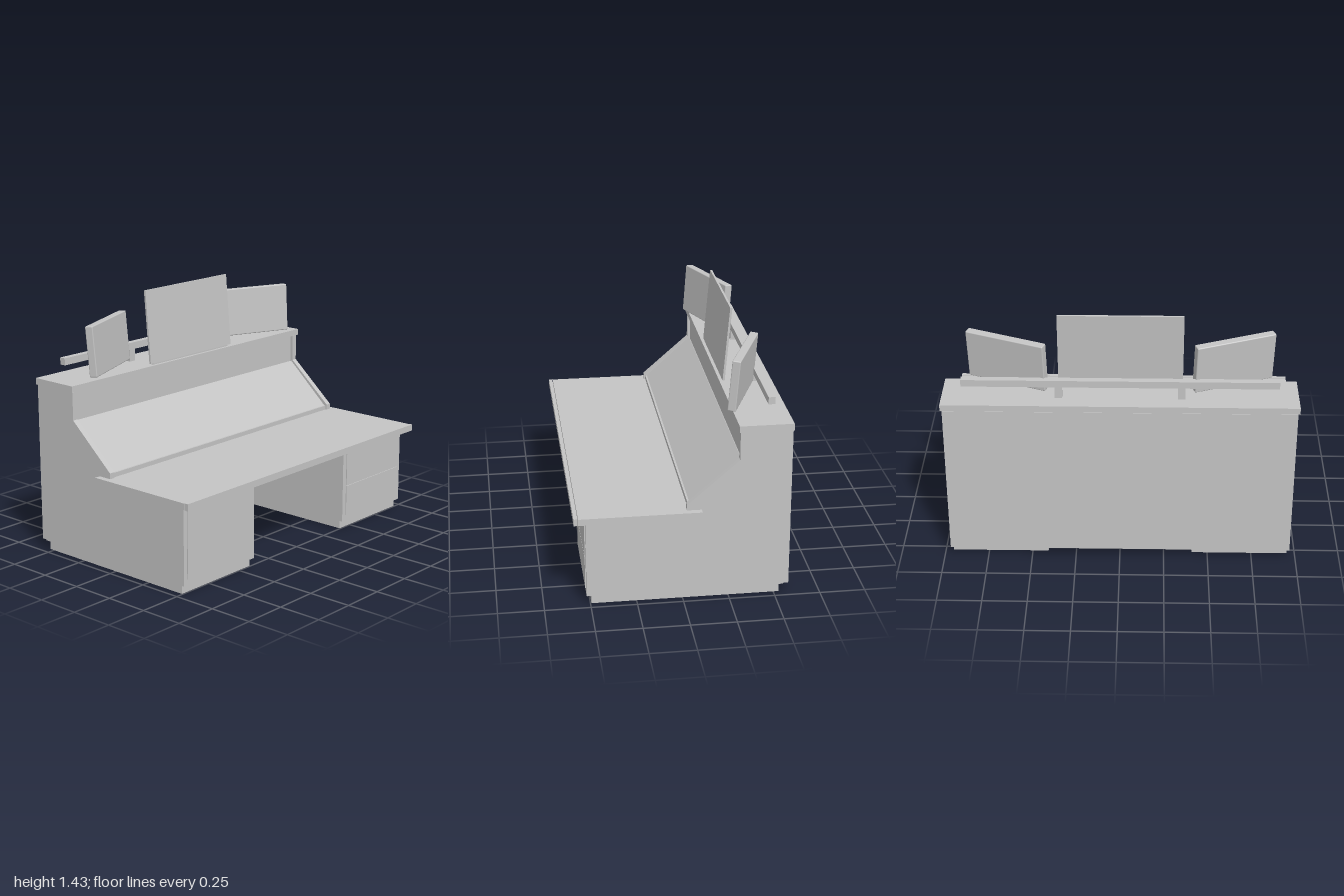
import * as THREE from 'three';
import { RoundedBoxGeometry } from 'three/addons/geometries/RoundedBoxGeometry.js';

const grey = new THREE.MeshStandardMaterial({ color: 0xc4c4c4 });
grey.name = 'light grey';

export function createModel() {
  const model = new THREE.Group();
  model.name = 'consoleDesk';

  const add = (name, geometry, parent = model) => {
    const mesh = new THREE.Mesh(geometry, grey);
    mesh.name = name;
    parent.add(mesh);
    return mesh;
  };
  // Box given by its limits along each axis
  const box = (name, x0, x1, y0, y1, z0, z1, parent = model) => {
    const mesh = add(name, new THREE.BoxGeometry(x1 - x0, y1 - y0, z1 - z0), parent);
    mesh.position.set((x0 + x1) / 2, (y0 + y1) / 2, (z0 + z1) / 2);
    return mesh;
  };
  // Four upright walls, open above and below
  const walls = (name, x0, x1, y0, y1, z0, z1, t) => {
    const group = new THREE.Group();
    group.name = name;
    model.add(group);
    box('outerWall', x0, x0 + t, y0, y1, z0, z1, group);
    box('innerWall', x1 - t, x1, y0, y1, z0, z1, group);
    box('frontWall', x0 + t, x1 - t, y0, y1, z1 - t, z1, group);
    box('backWall', x0 + t, x1 - t, y0, y1, z0, z0 + t, group);
  };

  // Side profile of the raised console, drawn as (-z, y)
  const profile = new THREE.Shape([
    [0.02, 0.49], [0.58, 0.49], [0.58, 0.96], [0.30, 0.96], [0.30, 0.805], [0.02, 0.56],
  ].map(([x, y]) => new THREE.Vector2(x, y)));

  for (const s of [-1, 1]) {
    // Hollow pedestal on an inset plinth
    const [a, b] = s < 0 ? [-0.965, -0.40] : [0.40, 0.965];
    walls('pedestal', a, b, 0.05, 0.495, -0.55, 0.52, 0.02);
    walls('plinth', a + 0.01, b - 0.01, 0, 0.05, -0.53, 0.495, 0.01);

    // Console side panel
    const side = add('consoleSide', new THREE.ExtrudeGeometry(profile, { depth: 0.033, bevelEnabled: false }));
    side.rotation.y = Math.PI / 2;
    side.position.x = s < 0 ? -0.965 : 0.932;

    // Desktop side edging
    box('desktopSideEdge', s < 0 ? -1 : 0.985, s < 0 ? -0.985 : 1, 0.492, 0.528, -0.10, 0.56);

    // Post under the rail
    box('railPost', s * 0.335 - 0.02, s * 0.335 + 0.02, 1.0, 1.07, -0.495, -0.465);

    // Angled side monitor
    const monitor = add('sideMonitor', new RoundedBoxGeometry(0.465, 0.285, 0.046, 2, 0.006));
    monitor.rotation.set(-0.08, -s * 0.385, 0, 'YXZ');
    monitor.position.set(s * 0.62, 1.168, -0.37);
  }

  // Door on one pedestal, two drawers on the other
  box('doorFront', -0.94, -0.43, 0.085, 0.465, 0.515, 0.525);
  box('lowerDrawerFront', 0.43, 0.935, 0.085, 0.264, 0.515, 0.525);
  box('upperDrawerFront', 0.43, 0.935, 0.27, 0.465, 0.515, 0.525);

  // Back panel and work surface
  box('backPanel', -0.965, 0.965, 0.055, 0.96, -0.58, -0.55);
  box('desktop', -0.985, 0.985, 0.495, 0.528, -0.10, 0.56);
  box('desktopFrontEdge', -1, 1, 0.492, 0.53, 0.563, 0.584);
  box('cabinetFloor', -0.935, 0.935, 0.495, 0.515, -0.55, -0.10);

  // Console face: lip, sloping panel, recessed upright panel, top shelf
  box('consoleLip', -0.935, 0.935, 0.528, 0.553, -0.045, -0.028);
  const rise = 0.25, run = 0.275;
  const slope = add('slopingPanel', new THREE.BoxGeometry(1.866, 0.018, Math.hypot(rise, run)));
  slope.rotation.x = Math.atan2(rise, run);
  slope.position.set(0, 0.667, -0.178);
  box('uprightPanel', -0.935, 0.935, 0.78, 0.96, -0.335, -0.317);
  box('topShelf', -0.975, 0.975, 0.963, 1.0, -0.583, -0.292);

  // Monitor rail and central screen
  box('monitorRail', -0.865, 0.865, 1.07, 1.11, -0.50, -0.463);
  box('screenFoot', -0.32, 0.32, 1.0, 1.012, -0.325, -0.31);
  const screen = add('centreScreen', new THREE.BoxGeometry(0.69, 0.425, 0.012));
  screen.rotation.x = -0.085;
  screen.position.set(0, 1.219, -0.331);

  return model;
}
